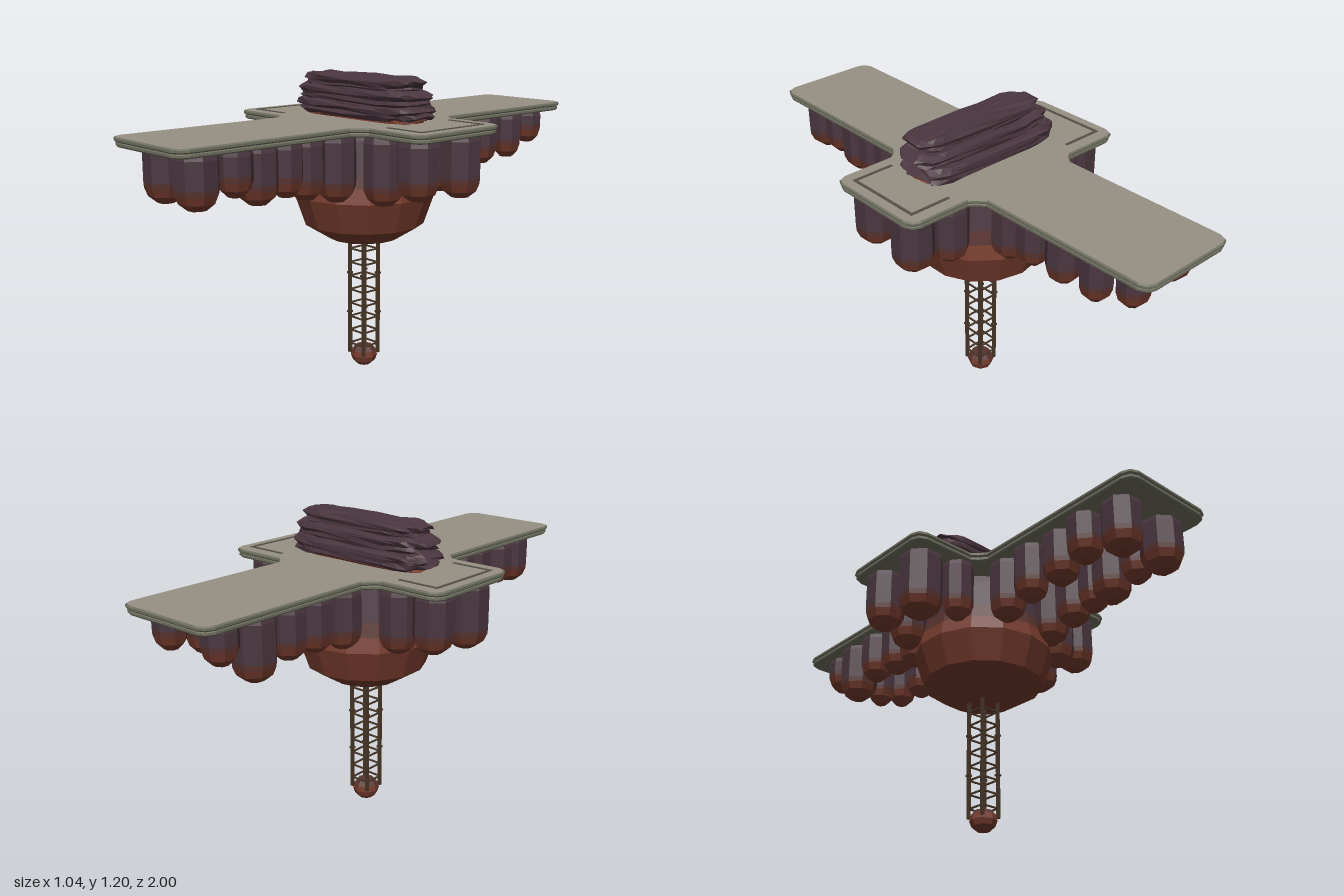
import * as THREE from 'three';

const mat = (name, color, extra = {}) => Object.assign(new THREE.MeshStandardMaterial({ color, flatShading: true, ...extra }), { name });

export function createModel() {
  const group = new THREE.Group();
  const stone = mat('pale deck stone', 0x979083);
  const edge = mat('green grey edge', 0x6f7060);
  const groove = mat('dark groove', 0x55524a);
  const rock = mat('purple rock', 0x4a363f);
  const brown = mat('brown rock band', 0x57322f);
  const red = mat('red rock', 0x743a2c);
  const metal = mat('dark brown metal', 0x483626);

  const add = (name, geo, material, x = 0, y = 0, z = 0, parent = group) => {
    const m = new THREE.Mesh(geo, material);
    m.name = name;
    m.position.set(x, y, z);
    parent.add(m);
    return m;
  };
  const lathe = (pts, sides) => new THREE.LatheGeometry(pts.map(p => new THREE.Vector2(...p)), sides);
  const hash = (a, b) => {
    const s = Math.sin(a * 127.1 + b * 311.7) * 43758.5453;
    return s - Math.floor(s) - 0.5;
  };

  // Cross-shaped deck: one quarter outline mirrored round
  const crossShape = inset => {
    const w = 0.215 - inset, l = 1 - inset, W = 0.52 - inset, d = 0.22 - inset, c = 0.04;
    const q = [[W, 0], [W, d - c], [W - 0.012, d - 0.012], [W - c, d], [w + 0.05, d],
      [w + 0.025, d + 0.018], [w, d + 0.05], [w, l - c], [w - 0.012, l - 0.012], [w - c, l]];
    const flip = (sx, sy) => q.map(([x, y]) => new THREE.Vector2(x * sx, y * sy));
    return new THREE.Shape([...flip(1, 1), ...flip(-1, 1).reverse(), ...flip(-1, -1).slice(1), ...flip(1, -1).reverse().slice(0, -1)]);
  };
  const slab = (name, y, h, inset, mats) => {
    const b = 0.005;
    const geo = new THREE.ExtrudeGeometry(crossShape(inset + b), { depth: h - 2 * b, bevelThickness: b, bevelSize: b, bevelSegments: 1 });
    geo.rotateX(-Math.PI / 2);
    add(name, geo, mats, 0, y + b, 0);
  };
  slab('deckLower', 0.99, 0.018, 0.004, edge);
  slab('deckUpper', 1.007, 0.018, 0, [stone, edge]);

  // Bracket-shaped inlays on the side wings
  for (const s of [-1, 1]) {
    add('wingInlayLong', new THREE.BoxGeometry(0.012, 0.004, 0.336), groove, s * 0.47, 1.0255, 0);
    for (const t of [-1, 1])
      add('wingInlayShort', new THREE.BoxGeometry(0.17, 0.004, 0.012), groove, s * 0.385, 1.0255, t * 0.162);
  }

  // Layered boulder on the deck: squared-off rings with uneven edges
  const boulder = (name, y0, y1, rx, rz, cx, cz, seed, material = rock) => {
    const n = 22, rings = [[0, 0], [0.9, 0], [0.97, 0.2], [0.93, 0.4], [1, 0.6], [0.98, 0.82], [0.9, 1], [0, 1]];
    const geo = lathe(rings, n), p = geo.attributes.position;
    for (let i = 0; i < p.count; i++) {
      const ring = i % rings.length, seg = Math.floor(i / rings.length) % n;
      const a = seg / n * Math.PI * 2, r = rings[ring][0] * (1 + 0.09 * hash(seg + seed, ring));
      const sq = v => Math.sign(v) * Math.pow(Math.abs(v), 0.5);
      const lift = ring > 0 && ring < 7 ? 0.012 * hash(ring + seed, seg) : 0;
      p.setXYZ(i, cx + sq(Math.sin(a)) * r * rx, y0 + rings[ring][1] * (y1 - y0) + lift, cz + sq(Math.cos(a)) * r * rz);
    }
    add(name, geo, material);
  };
  boulder('boulderBase', 1.02, 1.042, 0.3, 0.09, 0, 0, 3, red);
  boulder('boulderLower', 1.035, 1.092, 0.335, 0.115, 0, 0, 11);
  boulder('boulderMiddle', 1.088, 1.146, 0.322, 0.1, 0.015, 0.012, 27);
  boulder('boulderUpper', 1.142, 1.19, 0.298, 0.082, 0.02, 0.02, 45);

  // Central rock bowl in three colour bands
  add('bowl', lathe([[0, 0.53], [0.06, 0.53], [0.14, 0.543], [0.24, 0.605], [0.282, 0.727], [0.268, 0.785]], 14), red);
  add('bowlBand', lathe([[0.268, 0.785], [0.255, 0.84]], 14), brown);
  add('bowlNeck', lathe([[0.255, 0.84], [0.23, 0.96], [0.22, 0.992]], 14), rock);

  // Hanging rock columns: x, z, radius, lowest point
  const columns = [
    // side wings
    [0.415, 0.12, 0.077, 0.765], [0.42, -0.1, 0.077, 0.75], [-0.41, 0.1, 0.083, 0.73], [-0.42, -0.11, 0.075, 0.76],
    [0.27, 0.15, 0.075, 0.73], [-0.265, 0.15, 0.06, 0.755], [0.28, -0.14, 0.07, 0.75], [-0.28, -0.14, 0.072, 0.74],
    // front arm
    [0.105, 0.86, 0.077, 0.79], [-0.1, 0.85, 0.074, 0.785], [0.13, 0.72, 0.062, 0.82], [-0.13, 0.7, 0.068, 0.81],
    [0.11, 0.61, 0.075, 0.775], [-0.11, 0.56, 0.07, 0.79], [0.13, 0.5, 0.062, 0.79], [-0.13, 0.42, 0.066, 0.77],
    [0.12, 0.4, 0.068, 0.765], [0.13, 0.26, 0.072, 0.74], [-0.12, 0.28, 0.07, 0.75],
    // back arm
    [0.12, -0.87, 0.06, 0.85], [-0.11, -0.85, 0.064, 0.84], [-0.12, -0.71, 0.078, 0.75], [0.13, -0.72, 0.06, 0.8],
    [-0.13, -0.56, 0.068, 0.79], [0.12, -0.56, 0.066, 0.79], [0.13, -0.42, 0.064, 0.8], [-0.12, -0.42, 0.07, 0.78],
    [0.12, -0.29, 0.07, 0.765], [-0.13, -0.28, 0.07, 0.76],
  ];
  columns.forEach(([x, z, r, low], i) => {
    const col = new THREE.Group();
    col.name = 'hangingRock';
    col.position.set(x, 0, z);
    col.rotation.y = Math.PI / 8 + 0.25 * hash(i, 5);
    group.add(col);
    const k = r * 1.05;
    add('rockTip', lathe([[0, low], [0.42 * k, low + 0.004], [0.82 * k, low + 0.03], [0.98 * k, low + 0.06]], 8), red, 0, 0, 0, col);
    add('rockBand', lathe([[0.98 * k, low + 0.06], [k, low + 0.08]], 8), brown, 0, 0, 0, col);
    add('rockShaft', lathe([[k, low + 0.08], [k, 0.97], [0.9 * k, 0.993]], 8), rock, 0, 0, 0, col);
  });

  // Open ladder mast below the bowl
  const h = 0.04;
  for (const sx of [-1, 1]) for (const sz of [-1, 1])
    add('mastPost', new THREE.BoxGeometry(0.012, 0.49, 0.012), metal, sx * h, 0.295, sz * h);
  for (let i = 0; i < 8; i++) {
    const y = 0.09 + i * 0.0573;
    for (const s of [-1, 1]) {
      add('mastRung', new THREE.BoxGeometry(2 * h, 0.006, 0.006), metal, 0, y, s * h);
      add('mastRung', new THREE.BoxGeometry(0.006, 0.006, 2 * h), metal, s * h, y, 0);
    }
  }
  for (const y of [0.225, 0.39])
    for (const sx of [-1, 1]) for (const sz of [-1, 1])
      add('mastJoint', new THREE.BoxGeometry(0.018, 0.008, 0.018), metal, sx * h, y, sz * h);

  // Rock foot
  add('foot', lathe([[0, 0], [0.028, 0.002], [0.046, 0.018], [0.054, 0.04], [0.05, 0.062]], 8), red);
  add('footTop', lathe([[0.05, 0.062], [0.036, 0.08], [0, 0.082]], 8), brown);

  return group;
}
